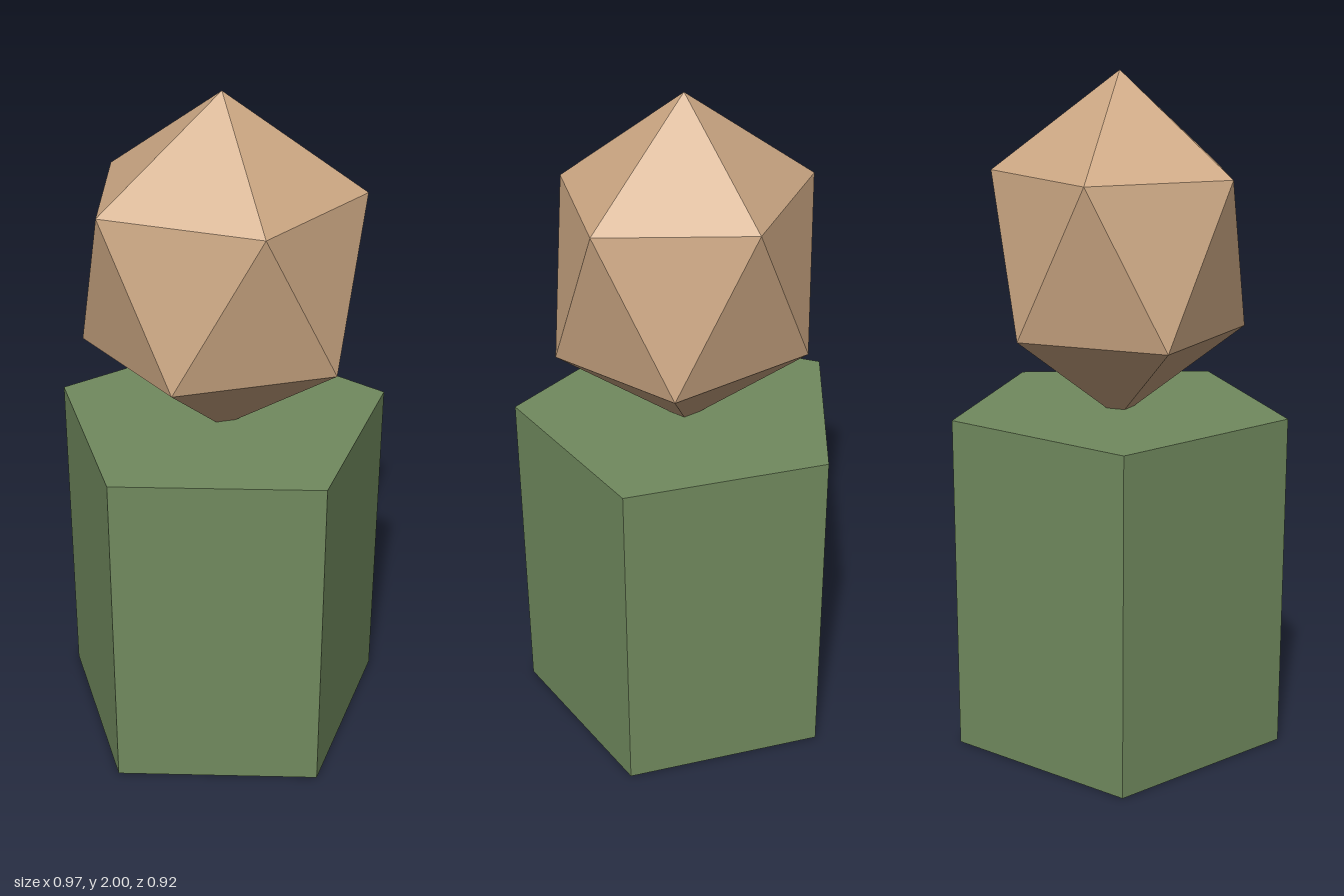
import * as THREE from 'three';

export function createModel() {
  const group = new THREE.Group();
  const green = new THREE.MeshStandardMaterial({ color: 0x718a5e, flatShading: true });
  green.name = 'moss green';
  const tan = new THREE.MeshStandardMaterial({ color: 0xcda884, flatShading: true });
  tan.name = 'tan';
  const axisZ = 0.047;

  // Five-sided pedestal with its point to the back
  const pedestal = new THREE.Mesh(new THREE.CylinderGeometry(0.51, 0.51, 1.02, 5), green);
  pedestal.name = 'pedestal';
  pedestal.rotation.y = Math.PI;
  pedestal.position.set(0, 0.51, axisZ);
  group.add(pedestal);

  // Stretched icosahedron balanced on one corner, its tip sunk into the pedestal
  const gem = new THREE.IcosahedronGeometry(1, 0);
  gem.rotateX(-Math.atan((1 + Math.sqrt(5)) / 2)); // corner to the top
  gem.rotateY(Math.PI / 2); // upper ring corner to +x
  gem.scale(0.447, 0.508, 0.408);
  const head = new THREE.Mesh(gem, tan);
  head.name = 'facetedHead';
  head.position.set(0, 1.492, axisZ);
  group.add(head);

  return group;
}
